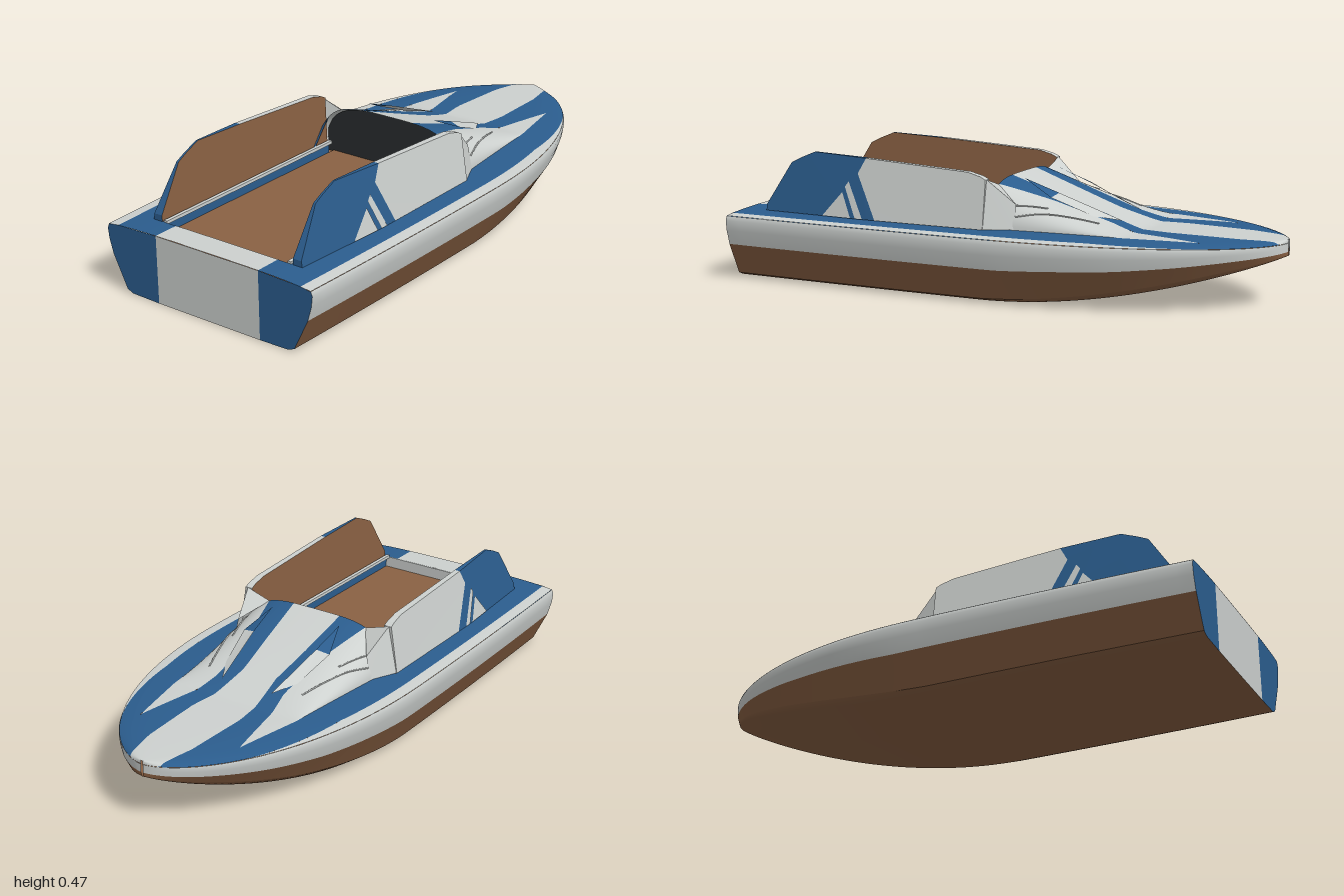
import * as THREE from 'three';

const mat = (name, color) => {
  const m = new THREE.MeshStandardMaterial({ color, side: THREE.DoubleSide });
  m.name = name;
  return m;
};
const white = mat('white paint', 0xcdd1cf);
const blue = mat('blue paint', 0x2b5d8e);
const brown = mat('brown', 0x8a6143);
const dark = mat('dark interior', 0x2a2d2f);

// Piecewise linear lookup in [[x, value], ...]
function lerpTable(t, x) {
  if (x <= t[0][0]) return t[0][1];
  for (let i = 1; i < t.length; i++) {
    const [x0, y0] = t[i - 1], [x1, y1] = t[i];
    if (x <= x1) return y0 + (y1 - y0) * (x - x0) / (x1 - x0);
  }
  return t[t.length - 1][1];
}

// Hull lines: half width, keel, paint line and sheer along the length
const width = x => (x < 0 ? 0.46 - 0.02 * x * x
  : Math.max(0.004, 0.46 * Math.pow(Math.max(0, 1 - Math.pow(x, 2.2)), 0.6)));
const keel = x => (x < 0 ? 0 : 0.18 * Math.pow(x, 1.9));
const paintLine = x => lerpTable([[0.1, 0.13], [0.5, 0.15], [0.7, 0.167], [0.85, 0.182], [1, 0.195]], x);
const sheer = x => 0.237 - 0.012 * Math.max(0, x) ** 2;

// Foredeck cowl, highest at the cockpit and fading into the bow deck
const cowlSide = x => 0.31 - 0.1 * x;
function deckY(x, z) {
  const y = sheer(x) + 0.013 * (1 - Math.min(1, z / width(x)) ** 4);
  if (x < 0 || x > 0.5) return y;
  const h = 0.16 * Math.pow(1 - x / 0.5, 1.1);
  return y + h * Math.sqrt(Math.max(0, 1 - (z / cowlSide(x)) ** 4));
}

// Surface grid from fn(u, v) -> [x, y, z]
function grid(fn, nu, nv, flip) {
  const pos = [], idx = [];
  for (let i = 0; i <= nu; i++) for (let j = 0; j <= nv; j++) pos.push(...fn(i / nu, j / nv));
  for (let i = 0; i < nu; i++) for (let j = 0; j < nv; j++) {
    const a = i * (nv + 1) + j, b = a + 1, c = a + nv + 1, d = c + 1;
    idx.push(...(flip ? [a, b, c, b, d, c] : [a, c, b, b, c, d]));
  }
  const g = new THREE.BufferGeometry();
  g.setAttribute('position', new THREE.Float32BufferAttribute(pos, 3));
  g.setIndex(idx);
  g.computeVertexNormals();
  return g;
}

// Flat outline whose points are placed by map(a, b) -> [x, y, z]
function sheet(points, map) {
  const g = new THREE.ShapeGeometry(new THREE.Shape(points.map(p => new THREE.Vector2(...p))));
  const p = g.attributes.position;
  for (let i = 0; i < p.count; i++) p.setXYZ(i, ...map(p.getX(i), p.getY(i)));
  g.computeVertexNormals();
  return g;
}

export function createModel() {
  const root = new THREE.Group();
  const add = (name, geo, m, parent = root) => {
    const mesh = new THREE.Mesh(geo, m);
    mesh.name = name;
    parent.add(mesh);
  };

  // Deck paint borders, from the centreline outwards
  const outer = x => width(x) * lerpTable([[0.4, 0.89], [0.8, 0.985]], x);
  const centre = x => Math.min(outer(x), lerpTable([[0, 0.1], [0.2, 0.085], [0.35, 0.07], [0.6, 0.1], [0.85, 0.09], [1, 0.06]], x));
  const wedgeOut = x => Math.max(centre(x), Math.min(outer(x), lerpTable([[0, 0.31], [0.5, 0.26], [0.75, 0.21]], x)));
  const wedgeIn = x => Math.min(wedgeOut(x), Math.max(centre(x), lerpTable([[0, 0.21], [0.2, 0.16], [0.4, 0.14], [0.75, 0.21]], x)));
  const rail = x => width(x) * 0.985;
  const zero = () => 0, coaming = () => 0.275, stripe = () => 0.22;

  for (const s of [1, -1]) {
    const half = new THREE.Group();
    half.name = s > 0 ? 'frontHalf' : 'backHalf';
    root.add(half);
    const put = (name, geo, m) => add(name, geo, m, half);

    // Hull bands between section points [z, y]; the chine softens to the bow
    const section = x => {
      const w = width(x), k = keel(x), p = Math.max(paintLine(x), k + 0.008), t = sheer(x);
      const c = k + (p - k) * lerpTable([[0, 0.1], [1, 0.35]], x);
      return [[0, k], [0.77 * w, k + (c - k) * 0.2], [0.825 * w, c], [0.955 * w, p],
        [0.99 * w, p + (t - p) * 0.5], [w, p + (t - p) * 0.85], [0.985 * w, t]];
    };
    const hullBand = (name, from, to, m) => put(name, grid((u, v) => {
      const x = u < 0.3 ? -1 + u / 0.3 : Math.sin((u - 0.3) / 0.7 * Math.PI / 2);
      const [z, y] = section(x)[from + Math.round(v * (to - from))];
      return [x, y, s * z];
    }, 60, to - from, s < 0), m);
    hullBand('hullBottom', 0, 2, brown);
    hullBand('hullLowerSide', 2, 3, brown);
    hullBand('hullUpperSide', 3, 6, white);

    // Deck strips
    const deck = (name, x0, x1, a, b, m, n = 6) => put(name, grid((u, v) => {
      const x = x0 + (x1 - x0) * (x1 > 0 ? Math.sin(u * Math.PI / 2) : u);
      const z = a(x) + (b(x) - a(x)) * Math.sin(v * Math.PI / 2);
      return [x, deckY(x, z), s * z];
    }, x1 > 0 ? 48 : 12, n, s > 0), m);
    deck('foredeckCentre', 0, 1, zero, centre, white);
    deck('foredeckInnerStripe', 0, 1, centre, wedgeIn, blue);
    deck('cowlSide', 0, 0.75, wedgeIn, wedgeOut, white, 14);
    deck('foredeckOuterStripe', 0, 1, wedgeOut, outer, blue);
    deck('foredeckGunwale', 0, 0.8, outer, rail, white);
    deck('sideDeck', -1, 0, coaming, outer, blue);
    deck('sideGunwale', -1, 0, outer, rail, white);
    deck('sternDeckCentre', -1, -0.9, zero, stripe, white);
    deck('sternDeckStripe', -1, -0.9, stripe, coaming, blue);

    // Transom
    const toStern = (a, b) => [-1, b, s * a];
    put('transomCentre', sheet([[0, 0], [0.22, 0], [0.22, 0.249], [0, 0.249]], toStern), white);
    const edge = section(-1).slice(1);
    put('transomSide', sheet([[0.22, 0], ...edge, [0.39, 0.243], [0.22, 0.249]], toStern), blue);

    // Cockpit coaming
    put('coamingWall', new THREE.BoxGeometry(0.9, 0.05, 0.006).translate(-0.45, 0.222, s * 0.278), blue);
    put('coamingRail', new THREE.BoxGeometry(0.9, 0.012, 0.014).translate(-0.45, 0.25, s * 0.267), white);

    // Side screens: painted outside, brown inside, painted rim
    const zOut = (x, y) => 0.345 - 0.155 * (y - 0.25) - 0.025 * Math.max(0, (-x - 0.5) / 0.4);
    const outside = lift => (x, y) => [x, y, s * (zOut(x, y) + lift)];
    const inside = (x, y) => [x, y, s * (0.282 + 0.04 * (y - 0.25))];
    const outline = [[-0.9, 0.248], [-0.9, 0.27], [-0.8, 0.43], [-0.76, 0.45], [-0.7, 0.475], [-0.48, 0.466],
      [-0.07, 0.443], [-0.02, 0.43], [0, 0.42], [0, 0.248]];
    put('screenRear', sheet([...outline.slice(0, 6), [-0.51, 0.41], [-0.43, 0.248], [-0.5, 0.248]], outside(0)), blue);
    put('screenFront', sheet([[-0.43, 0.248], [-0.51, 0.41], ...outline.slice(5)], outside(0)), white);
    put('screenTriangle', sheet([[-0.65, 0.25], [-0.57, 0.34], [-0.53, 0.25]], outside(0.003)), white);
    put('screenSlash', sheet([[-0.56, 0.36], [-0.545, 0.38], [-0.48, 0.25], [-0.51, 0.25]], outside(0.003)), white);
    put('screenInside', sheet(outline, inside), brown);
    const rim = (name, pts, m) => {
      const n = pts.length - 1;
      const g = grid((u, v) => (v ? inside : outside(0))(...pts[Math.round(u * n)]), n, 1, s < 0).toNonIndexed();
      g.computeVertexNormals();
      put(name, g, m);
    };
    rim('screenRimRear', outline.slice(0, 6), blue);
    rim('screenRimFront', outline.slice(5), white);

    // Raised blade on the cowl, blue behind and white ahead
    const plate = (...pts) => {
      const g = new THREE.BufferGeometry();
      g.setAttribute('position', new THREE.Float32BufferAttribute(pts.flatMap(([x, y, z]) => [x, y, s * z]), 3));
      g.setIndex([0, 1, 2, 0, 2, 3].slice(0, (pts.length - 2) * 3).reverse());
      if (s > 0) g.index.array.reverse();
      g.computeVertexNormals();
      return g;
    };
    const mid = [0.2, 0.362, 0.135], low = [0.19, 0.352, 0.185];
    put('bladeRear', plate([0.07, 0.408, 0.145], low, mid), blue);
    put('bladeFront', plate(mid, low, [0.34, 0.292, 0.155], [0.43, 0.275, 0.105]), white);

    // Fairings joining the side screen to the cowl
    const corner = [0, 0.42, 0.308], nose = [0.1, 0.335, 0.28];
    put('cornerGusset', plate(corner, nose, [0, 0.39, 0.21]), white);
    put('cornerFairing', plate(corner, [0, 0.248, 0.343], [0.1, 0.25, 0.3], nose), white);

    // Slim vent ridges on the cowl side
    for (const [x0, x1, z0, z1] of [[0.05, 0.2, 0.28, 0.23], [0.1, 0.38, 0.29, 0.2]]) {
      const pts = [0, 0.33, 0.67, 1].map(t => {
        const x = x0 + (x1 - x0) * t, z = z0 + (z1 - z0) * t;
        return new THREE.Vector3(x, deckY(x, z) + 0.001, s * z);
      });
      put('ventRidge', new THREE.TubeGeometry(new THREE.CatmullRomCurve3(pts), 16, 0.003, 6), white);
    }
  }

  // Cockpit floor, rear wall and the dark opening under the cowl
  add('cockpitFloor', new THREE.BoxGeometry(0.93, 0.01, 0.55).translate(-0.435, 0.2, 0), brown);
  add('cockpitRearWall', new THREE.BoxGeometry(0.006, 0.05, 0.55).translate(-0.903, 0.222, 0), white);
  add('cowlOpening', grid((u, v) => {
    const z = (u * 2 - 1) * 0.3;
    return [0.03, 0.2 + v * (deckY(0.03, Math.abs(z)) - 0.203), z];
  }, 32, 1, true), dark);

  return root;
}
